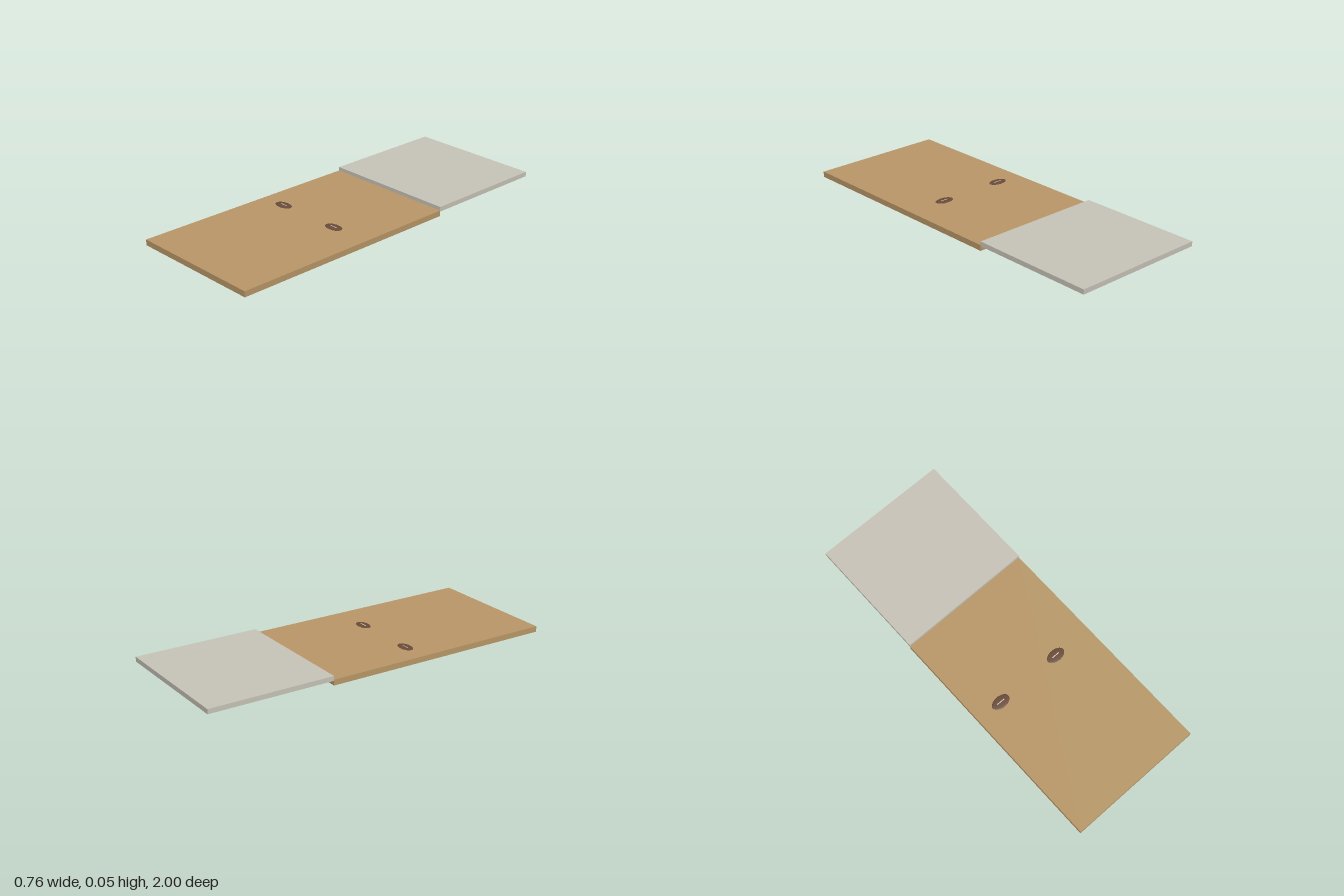
import * as THREE from 'three';

const mat = (name, color) => Object.assign(new THREE.MeshStandardMaterial({ color }), { name });

export function createModel() {
  const model = new THREE.Group();
  const tan = mat('tan', 0xba9868);
  const paleGrey = mat('pale grey', 0xc9c5b9);
  const darkBrown = mat('dark brown', 0x6b4c3a);
  const cream = mat('cream', 0xd8ccb8);

  // Box given by its extents in y and z, centred on x
  const box = (name, material, w, y0, y1, z0, z1, x = 0) => {
    const mesh = new THREE.Mesh(new THREE.BoxGeometry(w, y1 - y0, z1 - z0), material);
    mesh.position.set(x, (y0 + y1) / 2, (z0 + z1) / 2);
    mesh.name = name;
    model.add(mesh);
  };

  // Main panel and the raised panel behind it
  box('mainPanel', tan, 0.76, 0, 0.031, -0.305, 1);
  box('rearPanel', paleGrey, 0.76, 0.025, 0.051, -1, -0.305);

  // Flattened oval studs, each with a thin slot mark on top
  for (const x of [-0.229, 0.152]) {
    const stud = new THREE.Mesh(new THREE.SphereGeometry(1, 32, 16), darkBrown);
    stud.scale.set(0.053, 0.003, 0.032);
    stud.position.set(x, 0.032, 0.235);
    stud.name = 'ovalStud';
    model.add(stud);
    box('slotMark', cream, 0.046, 0.033, 0.0353, 0.232, 0.237, x);
  }
  return model;
}
